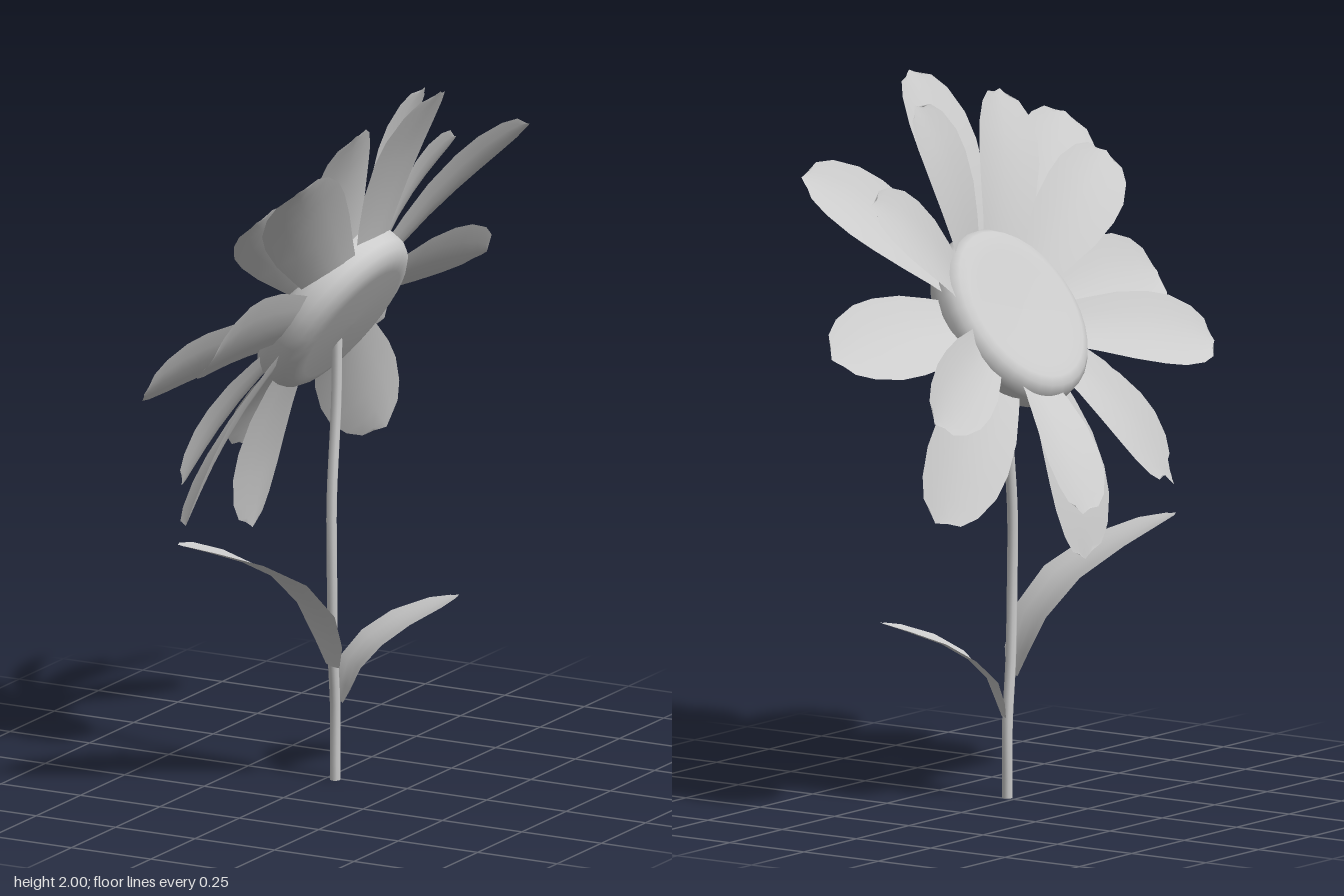
import * as THREE from 'three';

const V = (x, y, z) => new THREE.Vector3(x, y, z);
const FACING = V(-0.83, 0.56, 0).normalize(); // direction the flower head looks
const HEAD = V(0.035, 1.328, 0);              // centre of the seed head
const RING = V(0.03, 1.343, 0);               // centre of the petal rings
const mat = new THREE.MeshStandardMaterial({ color: 0xcccccc });
const thin = new THREE.MeshStandardMaterial({ color: 0xcccccc, side: THREE.DoubleSide });

function mesh(name, geometry, material) {
  const m = new THREE.Mesh(geometry, material);
  m.name = name;
  return m;
}

// Thin blade swept along a curve; profile = [t, half width], edges lifted towards `up`
function blade(name, curve, up, profile, cup) {
  const cols = 4, pos = [], idx = [];
  profile.forEach(([t, w], i) => {
    const p = curve.getPoint(t), tan = curve.getTangent(t);
    const side = tan.clone().cross(up).normalize();
    const lift = side.clone().cross(tan).normalize();
    for (let j = 0; j <= cols; j++) {
      const s = (j / cols) * 2 - 1;
      // the tip row is pulled back at its corners to make a blunt point
      const back = i === profile.length - 1 ? -0.02 * Math.abs(s) : 0;
      const v = p.clone().addScaledVector(side, s * w)
        .addScaledVector(lift, cup * s * s * w).addScaledVector(tan, back);
      pos.push(v.x, v.y, v.z);
      if (i && j) {
        const a = (i - 1) * (cols + 1) + j - 1, b = a + cols + 1;
        idx.push(a, a + 1, b, a + 1, b + 1, b);
      }
    }
  });
  const g = new THREE.BufferGeometry();
  g.setAttribute('position', new THREE.Float32BufferAttribute(pos, 3));
  g.setIndex(idx);
  g.computeVertexNormals();
  return mesh(name, g, thin);
}

// Petal from the rim of the head out to its tip; tilt turns its face upwards
function petal(name, [x, y, z, tilt = 0], forward, width) {
  const tip = V(x, y, z);
  const centre = RING.clone().addScaledVector(FACING, forward);
  const out = tip.clone().sub(centre).projectOnPlane(FACING).normalize();
  const base = centre.addScaledVector(out, 0.21);
  const mid = base.clone().lerp(tip, 0.5).addScaledVector(FACING, 0.045);
  const curve = new THREE.QuadraticBezierCurve3(base, mid, tip);
  const profile = [[0, 0.6], [0.15, 0.74], [0.35, 0.92], [0.55, 1], [0.7, 0.97], [0.85, 0.78], [0.94, 0.52], [1, 0.26]]
    .map(([t, w]) => [t, w * width]);
  return blade(name, curve, FACING.clone().add(V(0, tilt, 0)), profile, 0.15);
}

export function createModel() {
  const group = new THREE.Group();

  // Seed head: a flattened disc with rounded rim
  const rim = [[0, -0.052], [0.19, -0.05], [0.225, -0.042], [0.25, -0.025], [0.262, 0],
    [0.264, 0.035], [0.258, 0.062], [0.24, 0.082], [0.215, 0.09], [0.17, 0.086], [0, 0.078]];
  const disc = mesh('seedHead', new THREE.LatheGeometry(rim.map(([r, h]) => new THREE.Vector2(r, h)), 32), mat);
  disc.position.copy(HEAD);
  disc.quaternion.setFromUnitVectors(V(0, 1, 0), FACING);
  group.add(disc);

  // Two rings of petals, given by their tips and tilt
  const backTips = [[0.36, 2.0, 0.01], [0.215, 1.82, 0.55, 0.35], [0.05, 1.36, 0.755], [-0.13, 0.83, 0.57, 0.4],
    [-0.22, 0.69, 0.03], [-0.11, 0.86, -0.53], [0.08, 1.33, -0.755, 0.25], [0.34, 1.78, -0.53]];
  const frontTips = [[0.245, 1.92, 0.28], [0.09, 1.72, 0.57, 0.25], [-0.22, 1.21, 0.645], [-0.26, 0.88, 0.36],
    [-0.36, 0.86, -0.18], [-0.15, 1.15, -0.59, -0.2], [0.12, 1.72, -0.51], [0.2, 1.945, -0.19]];
  const petals = new THREE.Group();
  petals.name = 'petals';
  backTips.forEach((t) => petals.add(petal('backPetal', t, 0.0, 0.135)));
  frontTips.forEach((t) => petals.add(petal('frontPetal', t, 0.03, 0.115)));
  group.add(petals);

  // Gently bent stem
  const path = new THREE.CatmullRomCurve3([V(0.03, 0, 0.012), V(0.03, 0.2, 0.012), V(0.035, 0.38, 0.035),
    V(0.042, 0.6, 0.052), V(0.04, 0.8, 0.05), V(0.035, 1.08, 0.015), V(0.035, 1.29, 0.01)]);
  group.add(mesh('stem', new THREE.TubeGeometry(path, 24, 0.015, 8), mat));
  const foot = mesh('stemEnd', new THREE.CircleGeometry(0.015, 8), mat);
  foot.rotation.x = Math.PI / 2;
  foot.position.set(0.03, 0, 0.012);
  group.add(foot);

  // Two arching leaves
  const leafShape = [[0, 0.3], [0.12, 0.6], [0.3, 0.9], [0.5, 1], [0.7, 0.95], [0.88, 0.65], [1, 0.25]];
  const leaf = (name, pts, width) => {
    const curve = new THREE.CatmullRomCurve3(pts.map((p) => V(...p)));
    group.add(blade(name, curve, V(0, 1, 0), leafShape.map(([t, w]) => [t, w * width]), 0.12));
  };
  leaf('largeLeaf', [[0.045, 0.335, 0.06], [0.025, 0.47, 0.1], [-0.03, 0.6, 0.2], [-0.11, 0.69, 0.35], [-0.2, 0.75, 0.49]], 0.11);
  leaf('smallLeaf', [[0.045, 0.225, 0.01], [0.075, 0.34, -0.025], [0.155, 0.43, -0.11], [0.28, 0.5, -0.24]], 0.09);

  return group;
}
